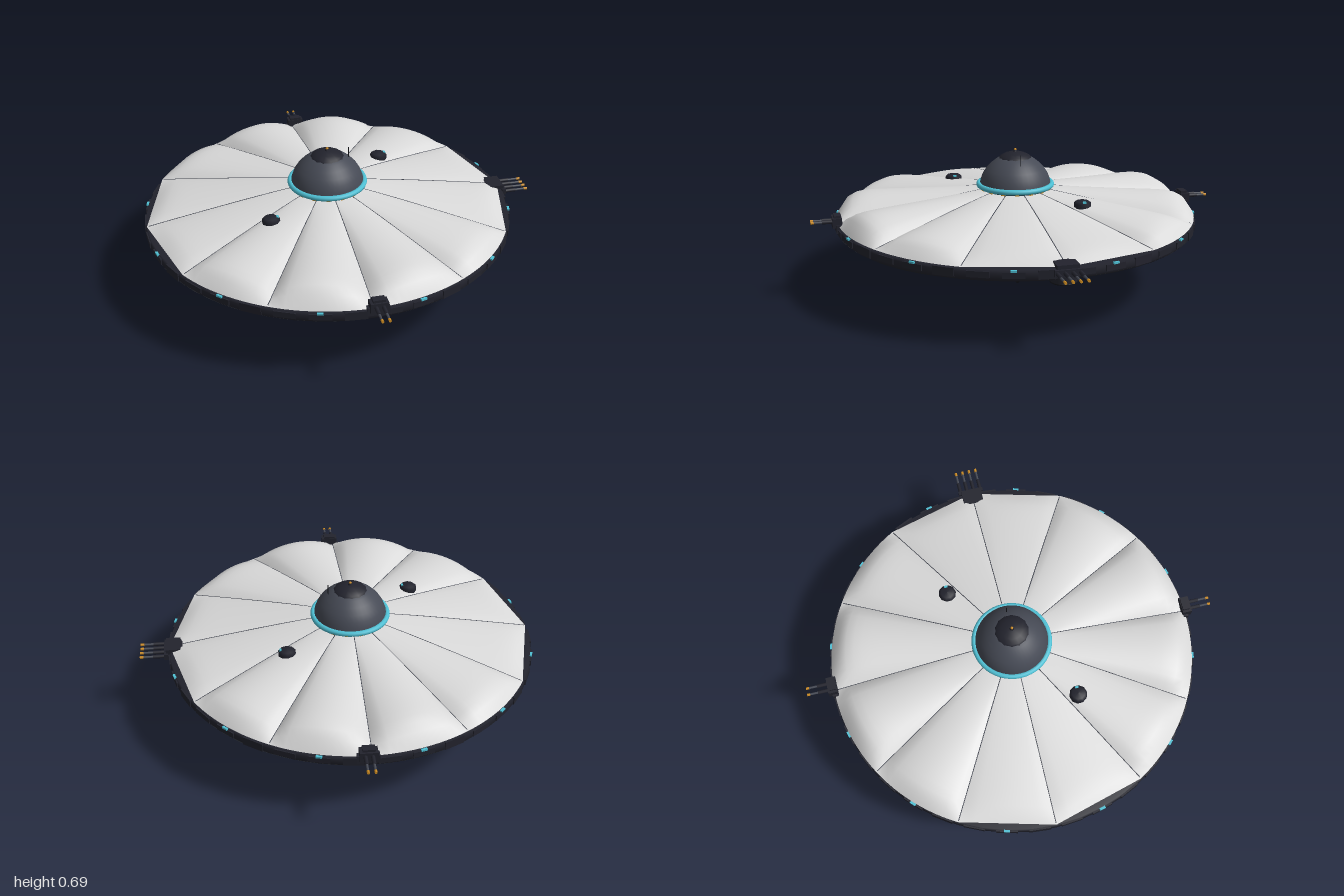
import * as THREE from 'three';

const mat = (name, color, side = THREE.FrontSide) => {
  const m = new THREE.MeshStandardMaterial({ color, side });
  m.name = name;
  return m;
};

export function createModel() {
  const white = mat('hull white', 0xdadada, THREE.DoubleSide);
  const rimDark = mat('rim dark', 0x22232d, THREE.DoubleSide);
  const belly = mat('belly charcoal', 0x25282c, THREE.DoubleSide);
  const slate = mat('dome slate', 0x464a55);
  const grey = mat('flange grey', 0x60636a, THREE.DoubleSide);
  const cyan = mat('glow cyan', 0x4fc0d4);
  const orange = mat('lamp orange', 0xcc8b22);
  const black = mat('cage black', 0x14151a);

  const model = new THREE.Group();
  const craft = new THREE.Group();
  craft.name = 'craft';
  craft.position.x = -0.07;
  model.add(craft);

  const add = (name, geo, material, x = 0, y = 0, z = 0, parent = craft) => {
    const m = new THREE.Mesh(geo, material);
    m.name = name;
    m.position.set(x, y, z);
    parent.add(m);
    return m;
  };
  // Places a part at a radius and angle, its local +x pointing outward
  const around = (name, geo, material, r, angle, y) => {
    const m = add(name, geo, material, r * Math.cos(angle), y, r * Math.sin(angle));
    m.rotation.y = -angle;
    return m;
  };
  const lathe = (pts, n = 48) => new THREE.LatheGeometry(pts.map(p => new THREE.Vector2(...p)), n);
  const box = (x, y, z) => new THREE.BoxGeometry(x, y, z);
  // Surface over a grid; point(u, t) returns [x, y, z]
  const grid = (nu, nt, point, flip = false) => {
    const pos = [], idx = [];
    for (let j = 0; j <= nt; j++)
      for (let i = 0; i <= nu; i++) pos.push(...point(i / nu, j / nt));
    for (let j = 0; j < nt; j++)
      for (let i = 0; i < nu; i++) {
        const a = j * (nu + 1) + i, b = a + 1, c = a + nu + 1, d = c + 1;
        if (flip) idx.push(a, c, b, b, c, d);
        else idx.push(a, b, c, b, d, c);
      }
    const g = new THREE.BufferGeometry();
    g.setAttribute('position', new THREE.Float32BufferAttribute(pos, 3));
    g.setIndex(idx);
    g.computeVertexNormals();
    return g;
  };

  // Twelve billowed hull panels, flatter and straight-edged toward the sides
  const R = 0.872, r0 = 0.16, step = Math.PI / 6;
  const seamY = t => 0.494 - 0.121 * Math.pow(t, 1.1);
  const bulge = [0.025, 0.065, 0.092];
  for (let k = 0; k < 12; k++) {
    const q = k % 6, kind = q < 3 ? q : 5 - q;
    add('hullPanel', grid(12, 18, (u, t) => {
      const th = (k + u) * step;
      const edge = kind === 0 ? R * Math.cos(step / 2) / Math.cos((u - 0.5) * step) : R;
      const r = r0 + (edge - r0) * t;
      const swell = Math.pow(Math.max(0, Math.sin(Math.PI * u)), 0.6);
      const y = seamY(t) + bulge[kind] * swell * Math.pow(t, 1.2) * (1 - Math.pow(t, 16));
      return [r * Math.cos(th), y, r * Math.sin(th)];
    }), white);
    // Thin seam between panels
    const pts = [0, 0.25, 0.5, 0.75, 0.99].map(t => {
      const r = r0 + (R - r0) * t;
      return new THREE.Vector3(r * Math.cos(k * step), seamY(t), r * Math.sin(k * step));
    });
    add('hullSeam', new THREE.TubeGeometry(new THREE.CatmullRomCurve3(pts), 12, 0.0022, 5), slate);
  }

  // Rim band with plates and lamps
  add('rim', lathe([[0.866, 0.316], [0.877, 0.33], [0.877, 0.355], [0.871, 0.369], [0.78, 0.369]]), rimDark);
  for (let i = 0; i < 36; i++)
    around('rimPlate', box(0.012, i % 3 ? 0.028 : 0.04, 0.1), rimDark, 0.873, (i + 0.5) * Math.PI / 18, 0.347);
  for (let i = 0; i < 12; i++)
    around('rimLamp', box(0.014, 0.009, 0.028), cyan, 0.875, (i + 0.5) * step, 0.364);

  // Belly, fuller toward front and back
  add('belly', grid(72, 20, (u, t) => {
    const th = u * Math.PI * 2, s = Math.sin(th), r = 0.15 + 0.722 * t;
    return [r * Math.cos(th), 0.252 + 0.07 * Math.pow(r / 0.872, 4.4 + 7 * s * s), r * s];
  }, true), belly);
  for (let i = 0; i < 8; i++) {
    const a = (i + 0.5) * Math.PI / 4;
    const fin = around('bellyFin', new THREE.CylinderGeometry(0.014, 0.004, 0.19, 8).rotateZ(-Math.PI / 2), slate, 0.5, a, 0.26);
    add('finLamp', box(0.008, 0.012, 0.014), cyan, 0.096, 0, 0, fin);
  }

  // Lower flange, glowing collar and caged sphere
  add('flange', lathe([[0.12, 0.222], [0.2, 0.212], [0.24, 0.205], [0.252, 0.21], [0.252, 0.222], [0.22, 0.227], [0.19, 0.238], [0.175, 0.258]]), grey);
  add('sphereSocket', new THREE.CylinderGeometry(0.125, 0.125, 0.03, 32), rimDark, 0, 0.23);
  add('sphereCollar', new THREE.TorusGeometry(0.122, 0.008, 10, 40).rotateX(Math.PI / 2), cyan, 0, 0.216);
  add('energySphere', new THREE.SphereGeometry(0.102, 32, 20), cyan, 0, 0.146);
  for (const [rx, ry] of [[0, 0], [0, Math.PI / 2], [Math.PI / 2, 0]])
    add('cageRing', new THREE.TorusGeometry(0.136, 0.005, 8, 40).rotateX(rx).rotateY(ry), black, 0, 0.141);

  // Dome, glowing collar and top cap
  add('domeBase', lathe([[0.165, 0.482], [0.172, 0.5], [0.172, 0.515], [0, 0.515]], 40), rimDark);
  for (let i = 0; i < 16; i++)
    around('collarLamp', box(0.01, 0.008, 0.018), orange, 0.172, (i + 0.5) * Math.PI / 8, 0.491);
  add('domeCollar', new THREE.TorusGeometry(0.178, 0.013, 10, 48).rotateX(Math.PI / 2), cyan, 0, 0.511);
  add('dome', lathe([[0.174, 0.512], [0.17, 0.532], [0.16, 0.56], [0.143, 0.588], [0.118, 0.614], [0.09, 0.636], [0.06, 0.652], [0, 0.66]], 40), slate);
  add('domeCap', lathe([[0.08, 0.641], [0.072, 0.651], [0.05, 0.663], [0.022, 0.671], [0, 0.672]], 14), rimDark);
  add('beaconStem', new THREE.CylinderGeometry(0.008, 0.012, 0.012, 8), rimDark, 0, 0.674);
  add('beacon', new THREE.SphereGeometry(0.007, 8, 6), orange, 0, 0.681);
  add('aerial', new THREE.CylinderGeometry(0.0022, 0.0022, 0.09, 6), black, 0.105, 0.63);

  // Two sensor pods on the upper hull
  for (const s of [1, -1]) {
    add('sensorPod', lathe([[0.042, -0.03], [0.042, 0.012], [0.03, 0.022], [0, 0.026]], 10), rimDark, s * 0.32, 0.47, -s * 0.243);
    add('sensorLens', box(0.01, 0.008, 0.016), cyan, s * 0.32 + 0.03, 0.491, -s * 0.243);
  }

  // Barrel with sleeve and glowing tip, pointing along +x
  const barrel = (parent, x, y, z, length) => {
    const tube = (name, r, a, b, m) =>
      add(name, new THREE.CylinderGeometry(r, r, b - a, 8).rotateZ(Math.PI / 2), m, x + (a + b) / 2, y, z, parent);
    tube('barrelSleeve', 0.009, 0, length * 0.5, rimDark);
    tube('barrel', 0.0055, length * 0.4, length * 0.88, slate);
    tube('barrelTip', 0.0065, length * 0.86, length, orange);
  };

  // Twin-barrel turrets at front and back
  for (const s of [1, -1]) {
    const t = new THREE.Group();
    t.name = 'twinTurret';
    t.position.set(0.018, 0.393, s * 0.877);
    t.rotation.y = -s * Math.PI / 2;
    craft.add(t);
    add('turretBody', box(0.045, 0.046, 0.08), rimDark, 0, -0.004, 0, t);
    add('turretTop', box(0.034, 0.016, 0.056), rimDark, -0.003, 0.022, 0, t);
    add('turretBase', box(0.03, 0.04, 0.1), rimDark, -0.008, -0.03, 0, t);
    for (const z of [-0.016, 0.016]) barrel(t, 0.018, 0, z, 0.105);
  }

  // Four-barrel side turret on a round mount
  const big = new THREE.Group();
  big.name = 'quadTurret';
  big.position.set(0.82, 0.355, 0);
  craft.add(big);
  add('turretMount', new THREE.CylinderGeometry(0.06, 0.06, 0.06, 24), rimDark, 0, -0.03, 0, big);
  add('mountRing', new THREE.TorusGeometry(0.056, 0.005, 8, 28).rotateX(Math.PI / 2), black, 0, -0.06, 0, big);
  add('turretBody', box(0.08, 0.055, 0.1), rimDark, 0.03, 0.005, 0, big);
  add('turretFace', box(0.02, 0.03, 0.124), rimDark, 0.07, 0, 0, big);
  for (const z of [-0.051, -0.017, 0.017, 0.051]) barrel(big, 0.07, 0, z, 0.125);

  return model;
}
